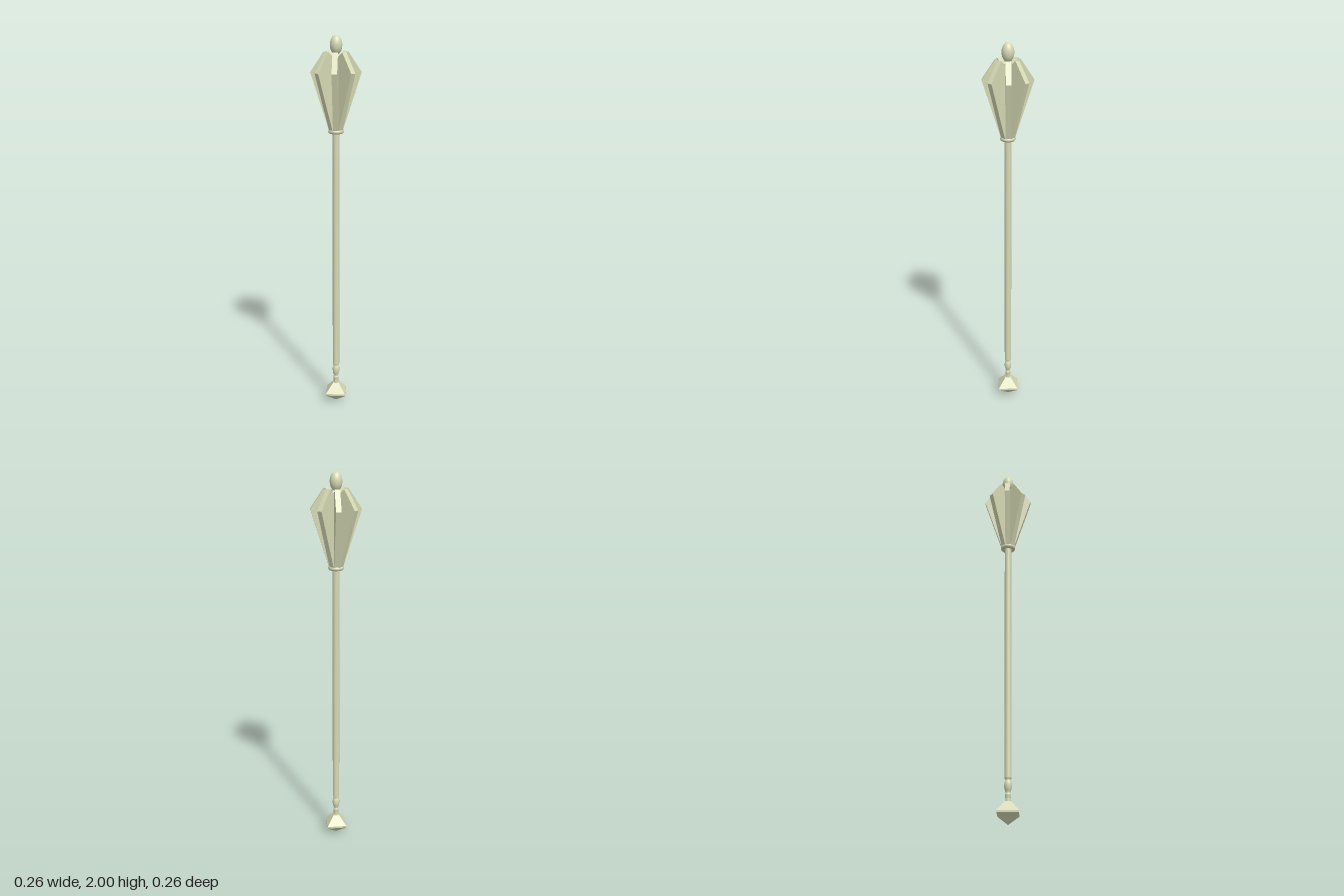
import * as THREE from 'three';

const material = new THREE.MeshStandardMaterial({ color: 0xd6dab4 });

function addMesh(parent, name, geometry, y = 0) {
  const mesh = new THREE.Mesh(geometry, material);
  mesh.name = name;
  mesh.position.y = y;
  parent.add(mesh);
  return mesh;
}

// Profile of [radius, height] pairs, listed from bottom to top
function lathe(points, segments, phase = 0) {
  return new THREE.LatheGeometry(points.map(([r, y]) => new THREE.Vector2(r, y)), segments, phase);
}

export function createModel() {
  const model = new THREE.Group();
  model.name = 'mace';

  // Square pommel: flat-faced lathe with four sides, half-widths scaled to corners
  const pommelProfile = [[0, 0], [0.053, 0.05], [0.053, 0.06], [0.016, 0.11], [0, 0.11]]
    .map(([halfWidth, y]) => [halfWidth * Math.SQRT2, y]);
  const pommelGeometry = lathe(pommelProfile, 4, Math.PI / 4).toNonIndexed();
  pommelGeometry.computeVertexNormals();
  addMesh(model, 'pommel', pommelGeometry);

  // Turned neck with a small bulb between pommel and shaft
  const neckCurve = new THREE.SplineCurve([
    [0.014, 0.1], [0.013, 0.125], [0.015, 0.145], [0.012, 0.155], [0.018, 0.178],
    [0.018, 0.2], [0.013, 0.217], [0.017, 0.228],
  ].map(([r, y]) => new THREE.Vector2(r, y)));
  addMesh(model, 'neck', new THREE.LatheGeometry(neckCurve.getPoints(35), 24));

  // Long shaft, running up inside the head
  addMesh(model, 'shaft', new THREE.CylinderGeometry(0.018, 0.018, 1.67, 24), 0.225 + 1.67 / 2);

  // Rounded collar under the head
  const collar = addMesh(model, 'collar', new THREE.TorusGeometry(0.028, 0.012, 12, 32), 1.523);
  collar.rotation.x = Math.PI / 2;

  // Eight bevelled flanges around the head
  const head = new THREE.Group();
  head.name = 'head';
  model.add(head);
  const thickness = 0.027;
  const outline = new THREE.Shape([
    [0.005, 1.525], [0.034, 1.525], [0.128, 1.82], [0.061, 1.92], [0.026, 1.89], [0.005, 1.89],
  ].map(([x, y]) => new THREE.Vector2(x, y)));
  const flangeGeometry = new THREE.ExtrudeGeometry(outline, { depth: thickness, bevelEnabled: false });
  flangeGeometry.translate(0, 0, -thickness / 2);
  for (let i = 0; i < 8; i++) {
    addMesh(head, 'flange', flangeGeometry).rotation.y = (i * Math.PI) / 4;
  }

  // Egg-shaped finial
  const finial = addMesh(model, 'finial', new THREE.SphereGeometry(0.031, 32, 20), 1.952);
  finial.scale.y = 0.048 / 0.031;

  return model;
}
